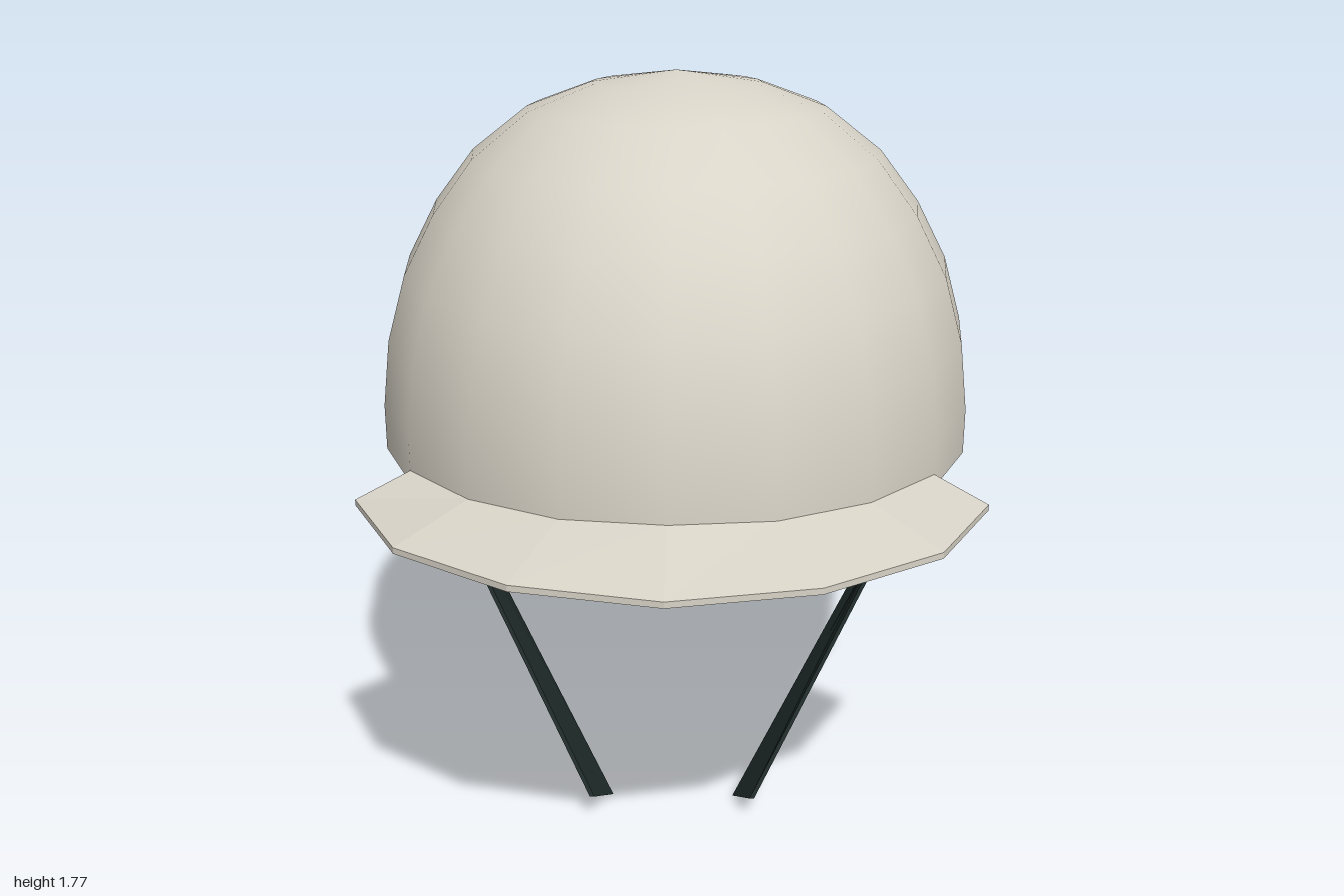
import * as THREE from 'three';

const RX = 0.74, RZ = 0.875, CZ = -0.12, BASE = 0.89, SEGS = 20, OPENING = 0.73;

const material = (name, color, side = THREE.FrontSide) =>
  Object.assign(new THREE.MeshStandardMaterial({ color, side }), { name });

// Dome profile: [fraction of the base ellipse, height]
const PROFILE = [[1, 0.89], [1, 1.0], [0.975, 1.16], [0.915, 1.315], [0.815, 1.455],
  [0.685, 1.58], [0.5, 1.685], [0.285, 1.743], [0, 1.775]];

// Elliptical lathe
function ellipticLathe(points, segs) {
  const geo = new THREE.LatheGeometry(points.map(([r, y]) => new THREE.Vector2(r, y)), segs);
  return geo.scale(RX, 1, RZ).translate(0, 0, CZ);
}

// Point on the base ellipse, with angle 0 at the front
function rimPoint(angle, scale = 1) {
  return [Math.sin(angle) * RX * scale, CZ + Math.cos(angle) * RZ * scale];
}

function ellipsePath(path, segs, scale) {
  const pts = [];
  for (let i = 0; i < segs; i++) {
    pts.push(new THREE.Vector2(...rimPoint(i / segs * Math.PI * 2, scale)));
  }
  return path.setFromPoints(pts);
}

// Slab swept through four-cornered cross-sections, with flat faces and closed ends
function sweptSlab(sections) {
  const pos = [];
  const quad = (a, b, c, d) => [a, b, c, a, c, d].forEach(p => pos.push(...p));
  for (let i = 0; i < sections.length - 1; i++) {
    const s = sections[i], t = sections[i + 1];
    for (let k = 0; k < 4; k++) quad(s[k], s[(k + 1) % 4], t[(k + 1) % 4], t[k]);
  }
  const e = sections[sections.length - 1];
  quad(sections[0][3], sections[0][2], sections[0][1], sections[0][0]);
  quad(...e);
  const geo = new THREE.BufferGeometry();
  geo.setAttribute('position', new THREE.Float32BufferAttribute(pos, 3));
  geo.computeVertexNormals();
  return geo;
}

export function createModel() {
  const group = new THREE.Group();
  const shellMat = material('shellOffWhite', 0xd9d4c8, THREE.DoubleSide);
  const linerMat = material('linerSlate', 0x868b98);
  const rimMat = material('rimCharcoal', 0x303238);
  const strapMat = material('strapBlack', 0x1e2a28, THREE.DoubleSide);
  const add = (name, geo, mat) => {
    const mesh = new THREE.Mesh(geo, mat);
    mesh.name = name;
    group.add(mesh);
    return mesh;
  };

  // Outer dome, crown leaning slightly backwards
  const dome = ellipticLathe(PROFILE, SEGS);
  const p = dome.attributes.position;
  for (let i = 0; i < p.count; i++) {
    const t = (p.getY(i) - BASE) / 0.885;
    if (t < 0.99) p.setZ(i, p.getZ(i) - 0.035 * t * t);
  }
  add('shell', dome, shellMat);

  // Flat underside between the shell and the opening
  const ring = ellipsePath(new THREE.Shape(), SEGS, 1);
  ring.holes.push(ellipsePath(new THREE.Path(), 40, OPENING));
  add('shellUnderside', new THREE.ShapeGeometry(ring).rotateX(Math.PI / 2).translate(0, BASE, 0), shellMat);

  // Inner dome, facing inwards
  const inner = PROFILE.map(([r, y]) => [r * OPENING, BASE + (y - BASE) * 0.76]).reverse();
  add('liner', ellipticLathe(inner, 40), linerMat);

  // Dark edging around the opening
  const edging = new THREE.TorusGeometry(OPENING, 0.014, 8, 40).rotateX(Math.PI / 2);
  add('openingRim', edging.scale(RX, 0.7, RZ).translate(0, BASE, CZ), rimMat);

  // Peak following the front of the shell
  const half = [[0, 0.995], [0.31, 0.925], [0.57, 0.745], [0.71, 0.475]];
  const sections = [];
  for (let i = -3; i <= 3; i++) {
    const k = Math.abs(i), [ox, oz] = half[k];
    const [ix, iz] = rimPoint(i * Math.PI / 10, 0.99);
    const x = Math.sign(i) * ox, y = 0.943 - 0.006 * k;
    sections.push([[ix, y, iz], [ix, y - 0.02, iz], [x, 0.868, oz], [x, 0.882, oz]]);
  }
  add('peak', sweptSlab(sections), shellMat);

  // Chin straps: [front edge, back edge] pairs from the shell down
  const pairs = [
    [[0.738, 0.925, -0.21], [0.734, 0.925, -0.335]],
    [[0.739, 0.88, -0.21], [0.735, 0.83, -0.335]],
    [[0.197, 0.068, 0.395], [0.157, 0.006, 0.285]],
  ];
  const T = 0.011;
  for (const [name, s] of [['leftStrap', 1], ['rightStrap', -1]]) {
    const rows = pairs.map(([f, b]) => {
      const at = ([x, y, z], d) => [s * (x + d), y, z];
      const row = [at(f, T / 2), at(f, -T / 2), at(b, -T / 2), at(b, T / 2)];
      return s > 0 ? row.reverse() : row;
    });
    add(name, sweptSlab(rows), strapMat);
  }
  return group;
}
